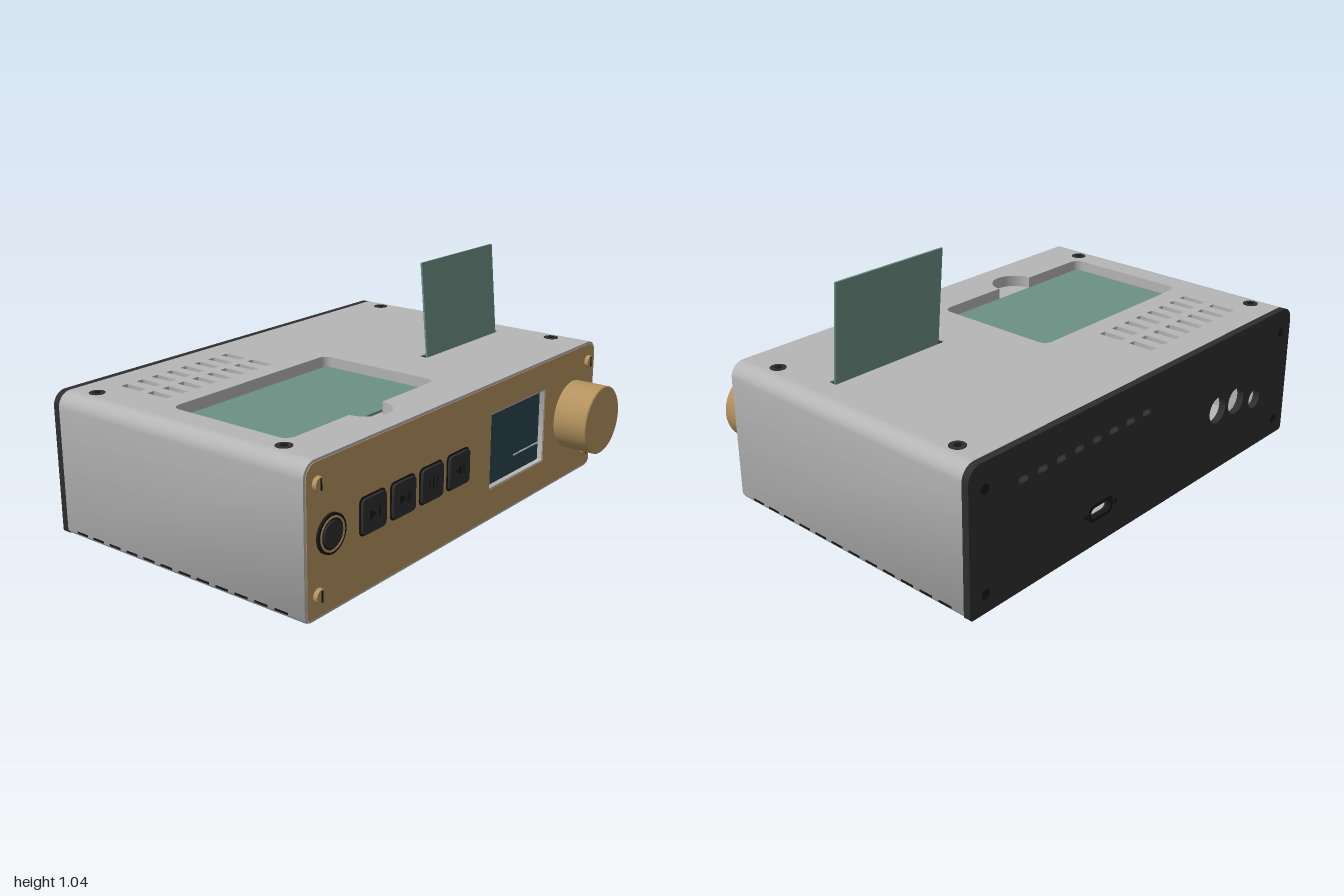
import * as THREE from 'three';
import { toCreasedNormals } from 'three/addons/utils/BufferGeometryUtils.js';

const material = (name, color) => {
  const m = new THREE.MeshStandardMaterial({ color });
  m.name = name;
  return m;
};

// Rounded rectangle with separate radii for the low and high ends
function roundRect(target, x0, x1, y0, y1, low, high = low) {
  target.moveTo(x0 + low, y0);
  target.lineTo(x1 - low, y0);
  target.absarc(x1 - low, y0 + low, low, -Math.PI / 2, 0);
  target.lineTo(x1, y1 - high);
  target.absarc(x1 - high, y1 - high, high, 0, Math.PI / 2);
  target.lineTo(x0 + high, y1);
  target.absarc(x0 + high, y1 - high, high, Math.PI / 2, Math.PI);
  target.lineTo(x0, y0 + low);
  target.absarc(x0 + low, y0 + low, low, Math.PI, Math.PI * 1.5);
  return target;
}
const panel = (...a) => roundRect(new THREE.Shape(), ...a);
const slot = (...a) => roundRect(new THREE.Path(), ...a);
const roundHole = (x, y, r) => new THREE.Path().absarc(x, y, r, 0, Math.PI * 2);

// Extrusion standing on z = z0
function slab(shape, z0, z1) {
  const g = new THREE.ExtrudeGeometry(shape, { depth: z1 - z0, bevelEnabled: false, curveSegments: 12 });
  return toCreasedNormals(g.translate(0, 0, z0), 0.6);
}
// Extrusion lying flat: shape y becomes -z
const flatSlab = (shape, y0, y1) => slab(shape, y0, y1).rotateX(-Math.PI / 2);

export function createModel() {
  const model = new THREE.Group();
  const grey = material('aluminium grey', 0xb6b6b6);
  const brass = material('brass', 0xb5935f);
  const dark = material('charcoal', 0x2e2e2e);
  const black = material('black', 0x161616);
  const teal = material('card teal', 0x6c9084);
  const glass = material('screen blue', 0x2a454c);
  const white = material('screen line', 0xd8e0e2);

  const add = (name, geometry, mat, x = 0, y = 0, z = 0, parent = model) => {
    const mesh = new THREE.Mesh(geometry, mat);
    mesh.name = name;
    mesh.position.set(x, y, z);
    parent.add(mesh);
    return mesh;
  };
  const box = (name, mat, w, h, d, x, y, z, parent) =>
    add(name, new THREE.BoxGeometry(w, h, d), mat, x, y, z, parent);
  const discZ = (name, mat, r, z0, z1, x, y) =>
    add(name, new THREE.CylinderGeometry(r, r, z1 - z0, 40).rotateX(Math.PI / 2), mat, x, y, (z0 + z1) / 2);

  // Side walls with rounded upper shoulders
  for (const s of [-1, 1]) {
    const wall = new THREE.Shape();
    wall.moveTo(s * 0.97, 0.055);
    wall.lineTo(s * 0.99, 0.055);
    wall.lineTo(s, 0.07);
    for (let i = 0; i <= 10; i++) {
      const a = (i / 10) * Math.PI / 2;
      wall.lineTo(s * (0.94 + 0.06 * Math.cos(a)), 0.58 + 0.06 * Math.sin(a));
    }
    wall.lineTo(s * 0.94, 0.6);
    wall.lineTo(s * 0.97, 0.58);
    add('sideWall', slab(wall, -0.69, 0.552), grey);
    // Narrow vents along the lower edge
    for (let i = 0; i < 12; i++)
      box('sideVent', black, 0.004, 0.008, 0.06, s * 1, 0.073, -0.6 + i * 0.095);
  }

  // Top plate with vents, card slot and card recess
  const top = panel(-0.94, 0.94, -0.552, 0.69, 0.001);
  for (let i = 0; i < 8; i++) {
    const x = -0.77 + i * 0.08;
    for (const y of [0.515, 0.365]) top.holes.push(slot(x - 0.017, x + 0.017, y - 0.055, y + 0.055, 0.004));
  }
  top.holes.push(slot(0.285, 0.855, -0.14, -0.1, 0.003));
  const recess = new THREE.Path();
  recess.moveTo(-0.81, -0.355);
  recess.lineTo(-0.51, -0.355);
  recess.absarc(-0.41, -0.355, 0.1, Math.PI, Math.PI * 2);
  recess.lineTo(0, -0.355);
  recess.absarc(0, -0.315, 0.04, -Math.PI / 2, 0);
  recess.absarc(0, 0.18, 0.04, 0, Math.PI / 2);
  recess.absarc(-0.81, 0.18, 0.04, Math.PI / 2, Math.PI);
  recess.absarc(-0.81, -0.315, 0.04, Math.PI, Math.PI * 1.5);
  top.holes.push(recess);
  add('topPlate', flatSlab(top, 0.59, 0.64), grey);
  box('recessFloor', grey, 0.93, 0.02, 0.72, -0.405, 0.58, 0.12);
  box('lyingCard', teal, 0.86, 0.01, 0.54, -0.405, 0.596, 0.07);

  // Standing card in its dark slot liner
  const liner = panel(0.286, 0.854, -0.139, -0.101, 0.003);
  liner.holes.push(slot(0.297, 0.843, -0.135, -0.106, 0.002));
  add('slotLiner', flatSlab(liner, 0.56, 0.634), dark);
  const card = box('standingCard', teal, 0.538, 0.86, 0.008, 0.568, 0.611, 0.13);
  card.rotation.x = -0.087;

  // Top screws
  for (const x of [-0.903, 0.9]) for (const z of [-0.575, 0.385]) {
    add('topScrew', new THREE.CylinderGeometry(0.032, 0.032, 0.02, 24), dark, x, 0.632, z);
    add('topScrewSocket', new THREE.CylinderGeometry(0.015, 0.015, 0.004, 6), black, x, 0.642, z);
  }

  // Bottom plate with two long slits and a row of short ones
  const bottom = panel(-0.975, 0.975, -0.552, 0.69, 0.001);
  for (const x of [-0.235, -0.805]) bottom.holes.push(slot(x - 0.01, x + 0.01, -0.14, 0.41, 0.009));
  for (let i = 0; i < 15; i++) {
    const x = -0.7 + i * 0.1;
    bottom.holes.push(slot(x - 0.03, x + 0.03, -0.3, -0.285, 0.006));
  }
  add('bottomPlate', flatSlab(bottom, 0.05, 0.075), grey);

  // Feet
  for (const x of [-0.82, 0.82]) for (const z of [-0.545, 0.375])
    add('foot', new THREE.CylinderGeometry(0.07, 0.07, 0.052, 32), dark, x, 0.026, z);

  // Back panel with vents, sockets and data port
  const back = panel(-1, 1, 0.052, 0.64, 0.015, 0.06);
  for (let i = 0; i < 8; i++) {
    const x = 0.03 + i * 0.1;
    back.holes.push(slot(x - 0.025, x + 0.025, 0.485, 0.51, 0.01));
  }
  back.holes.push(roundHole(-0.468, 0.33, 0.058), roundHole(-0.605, 0.325, 0.058), roundHole(-0.75, 0.285, 0.042));
  back.holes.push(slot(0.235, 0.36, 0.165, 0.22, 0.022));
  add('backPanel', slab(back, -0.72, -0.69), dark);
  const portRim = panel(0.225, 0.37, 0.155, 0.23, 0.03);
  portRim.holes.push(slot(0.24, 0.355, 0.17, 0.215, 0.02));
  add('portRim', slab(portRim, -0.722, -0.7), black);
  for (const x of [0.21, 0.385]) discZ('portScrewHole', black, 0.01, -0.722, -0.715, x, 0.192);
  for (const x of [-0.925, 0.925]) for (const y of [0.13, 0.54])
    discZ('backScrew', black, 0.02, -0.723, -0.71, x, y);

  // Front panel with screen opening
  const front = panel(-0.988, 0.988, 0.06, 0.63, 0.02, 0.05);
  front.holes.push(slot(0.145, 0.572, 0.185, 0.512, 0.004));
  add('frontPanel', slab(front, 0.52, 0.555), brass);
  const bezel = panel(0.143, 0.574, 0.183, 0.514, 0.004);
  bezel.holes.push(slot(0.15, 0.567, 0.191, 0.506, 0.003));
  add('screenBezel', slab(bezel, 0.515, 0.553), grey);
  box('screen', glass, 0.43, 0.33, 0.01, 0.3585, 0.349, 0.525);
  box('screenLine', white, 0.2, 0.006, 0.003, 0.467, 0.268, 0.531);

  // Knob with softened rim
  discZ('knobShaft', dark, 0.05, 0.54, 0.57, 0.783, 0.35);
  const profile = [[0, 0], [0.148, 0], [0.15, 0.002], [0.15, 0.151], [0.146, 0.155], [0, 0.155]];
  const knob = new THREE.LatheGeometry(profile.map(([r, h]) => new THREE.Vector2(r, h)), 64);
  add('knob', toCreasedNormals(knob.rotateX(Math.PI / 2), 0.6), brass, 0.783, 0.35, 0.566);

  // Buttons with simple raised symbols
  const triangle = new THREE.Shape([[-0.02, -0.02], [0.02, 0], [-0.02, 0.02]].map((p) => new THREE.Vector2(...p)));
  for (let i = 0; i < 4; i++) {
    const button = new THREE.Group();
    button.name = 'button';
    button.position.set(-0.631 + i * 0.18, 0.35, 0);
    model.add(button);
    add('buttonSurround', slab(panel(-0.075, 0.075, -0.075, 0.075, 0.022), 0.54, 0.558), black, 0, 0, 0, button);
    add('buttonCap', slab(panel(-0.068, 0.068, -0.068, 0.068, 0.018), 0.54, 0.569), dark, 0, 0, 0, button);
    const bars = [[0.025], [0.018, 0.034], [-0.025, 0, 0.025], [0.025]][i];
    for (const x of bars) box('symbolBar', black, 0.008, 0.04, 0.002, x, 0, 0.569, button);
    if (i !== 2) {
      const arrow = add('symbolArrow', slab(triangle, 0.568, 0.57), black, -0.012, 0, 0, button);
      if (i === 3) arrow.rotation.z = Math.PI;
    }
  }

  // Headphone socket
  discZ('socketNut', black, 0.075, 0.54, 0.566, -0.865, 0.35);
  const ring = new THREE.Shape().absarc(0, 0, 0.066, 0, Math.PI * 2);
  ring.holes.push(roundHole(0, 0, 0.058));
  add('socketRing', slab(ring, 0.55, 0.568), brass, -0.865, 0.35);
  discZ('socketHole', dark, 0.05, 0.55, 0.572, -0.865, 0.35);

  // Slotted front screws
  for (const x of [-0.932, 0.932]) for (const y of [0.142, 0.553]) {
    discZ('frontScrew', brass, 0.027, 0.54, 0.573, x, y);
    box('screwSlot', black, 0.008, 0.044, 0.003, x, y, 0.573);
  }
  return model;
}
